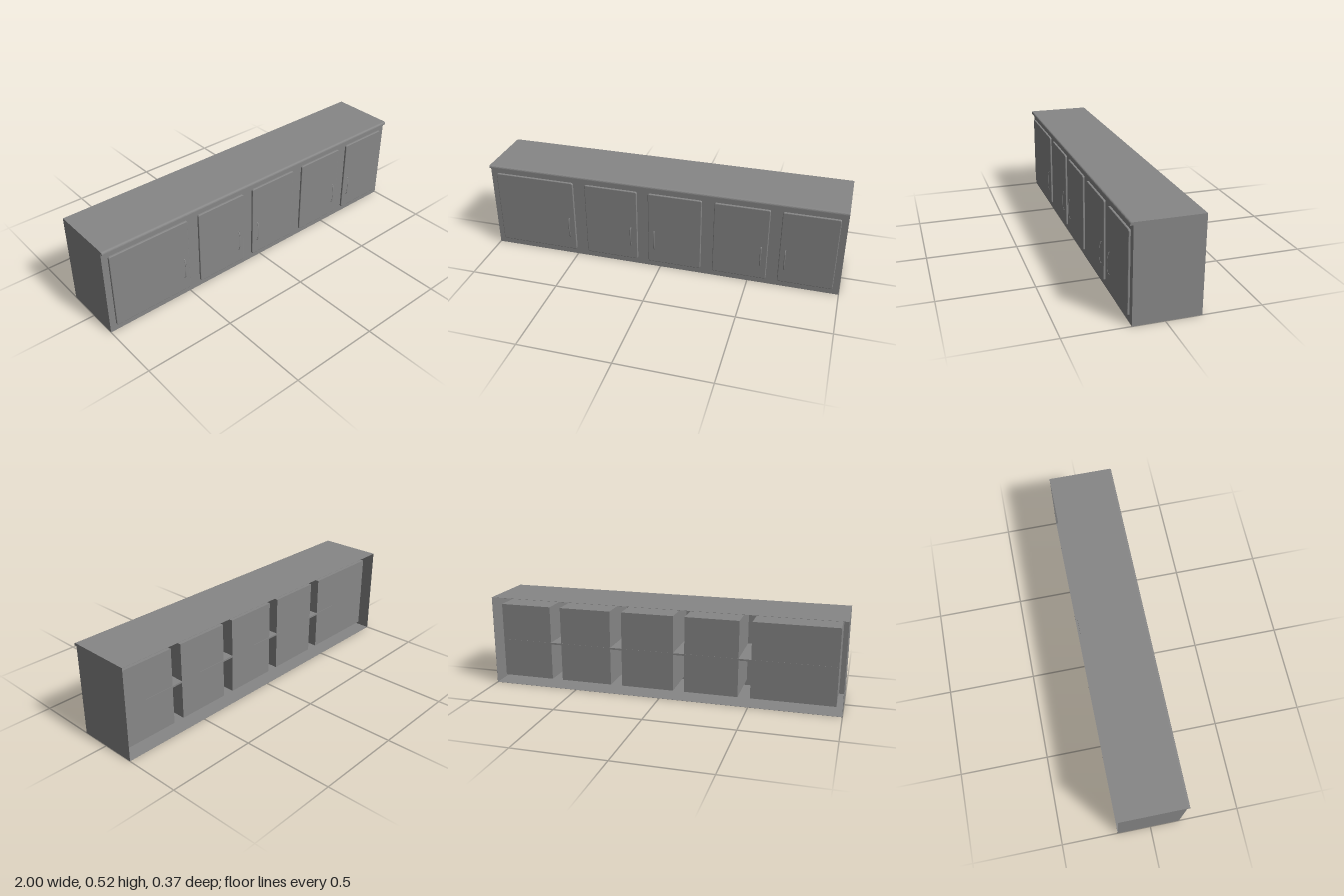
import * as THREE from 'three';

const BACK = -0.186, FRONT = 0.164, TOP = 0.515;
const DOOR_BOTTOM = 0.035, DOOR_TOP = 0.467, RECESS_BACK = -0.136;

// left edge, right edge and handle position of each door
const DOORS = [
  [-0.965, -0.503, -0.537],
  [-0.434, -0.131, -0.168],
  [-0.067, 0.234, -0.032],
  [0.302, 0.602, 0.567],
  [0.665, 0.965, 0.697],
];

// door slab with rounded corners and a softened front edge, centred in x and y
function doorGeometry(width, height) {
  const bevel = 0.004, r = 0.006;
  const w = width / 2 - bevel, h = height / 2 - bevel;
  const outline = new THREE.Shape();
  outline.absarc(w - r, h - r, r, 0, Math.PI / 2);
  outline.absarc(-w + r, h - r, r, Math.PI / 2, Math.PI);
  outline.absarc(-w + r, -h + r, r, Math.PI, Math.PI * 1.5);
  outline.absarc(w - r, -h + r, r, Math.PI * 1.5, Math.PI * 2);
  return new THREE.ExtrudeGeometry(outline, {
    depth: 0.007, bevelThickness: bevel, bevelSize: bevel, bevelSegments: 3, curveSegments: 4,
  });
}

export function createModel() {
  const group = new THREE.Group();
  const material = new THREE.MeshStandardMaterial({ color: 0x878787 });

  const add = (name, geometry, x = 0, y = 0, z = 0) => {
    const mesh = new THREE.Mesh(geometry, material);
    mesh.name = name;
    mesh.position.set(x, y, z);
    group.add(mesh);
  };
  // box given by its min and max corners
  const addBox = (name, [x0, y0, z0], [x1, y1, z1]) =>
    add(name, new THREE.BoxGeometry(x1 - x0, y1 - y0, z1 - z0),
      (x0 + x1) / 2, (y0 + y1) / 2, (z0 + z1) / 2);

  // thin carcass, open at the back
  const t = 0.001;
  addBox('floorPanel', [-1 + t, 0, BACK], [1 - t, t, FRONT]);
  addBox('frontFrame', [-1 + t, t, FRONT - t], [1 - t, TOP, FRONT]);
  addBox('rightSide', [-1, 0, BACK], [-1 + t, TOP, FRONT]);
  addBox('leftSide', [1 - t, 0, BACK], [1, TOP, FRONT]);

  // thin countertop with a solid rounded nose, profile drawn in z and y
  const profile = new THREE.Shape();
  profile.moveTo(BACK, TOP);
  profile.lineTo(FRONT, TOP);
  profile.lineTo(FRONT, 0.501);
  profile.lineTo(0.18, 0.501);
  profile.quadraticCurveTo(0.181, 0.516, 0.169, 0.516);
  profile.lineTo(BACK, 0.516);
  const top = new THREE.ExtrudeGeometry(profile, { depth: 2, bevelEnabled: false, curveSegments: 6 });
  top.rotateY(-Math.PI / 2); // profile x becomes z, extrusion runs along -x
  top.translate(1, 0, 0);
  add('countertop', top);

  // slim bowed pull handle
  const path = new THREE.CatmullRomCurve3([
    [0.118, 0.173], [0.123, 0.180], [0.14, 0.184], [0.178, 0.1855],
    [0.216, 0.184], [0.233, 0.180], [0.24, 0.173],
  ].map(([y, z]) => new THREE.Vector3(0, y, z)));
  const handle = new THREE.TubeGeometry(path, 24, 0.0015, 8);
  handle.scale(2.5, 1, 1);

  for (const [x0, x1, hx] of DOORS) {
    // closed compartment standing inside the carcass behind the door
    addBox('compartment', [x0, DOOR_BOTTOM, RECESS_BACK], [x1, DOOR_TOP, FRONT - t]);
    add('door', doorGeometry(x1 - x0, DOOR_TOP - DOOR_BOTTOM),
      (x0 + x1) / 2, (DOOR_TOP + DOOR_BOTTOM) / 2, FRONT);
    add('handle', handle, hx);
  }

  // one shelf running through all compartments
  addBox('shelf', [-0.965, 0.246, RECESS_BACK - 0.001], [0.965, 0.256, FRONT - t]);

  return group;
}
